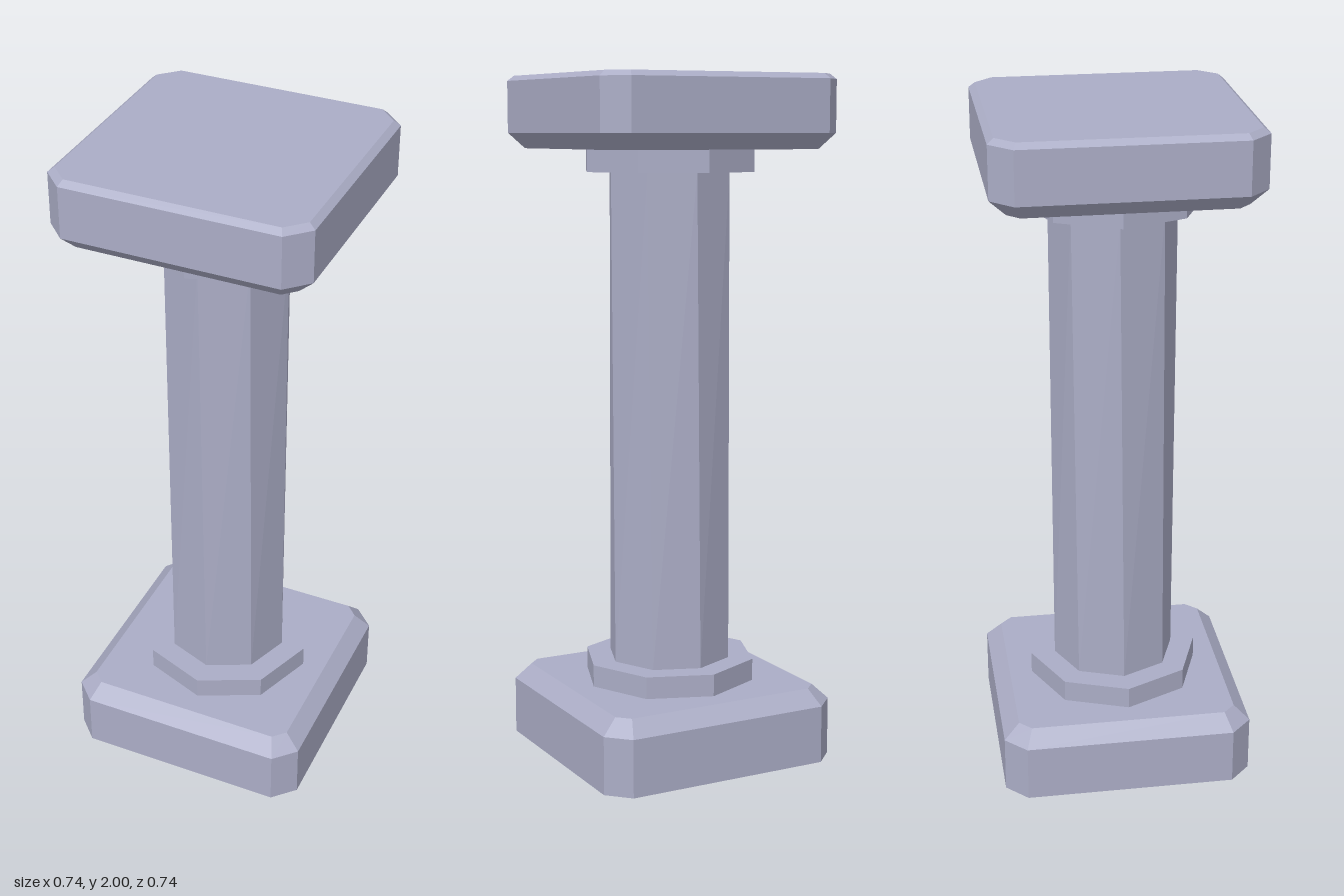
import * as THREE from 'three';

// Square ring with cut corners: half width h, half length c of the straight sides
function squareRing(y, h, c) {
  return [[-c, h], [c, h], [h, c], [h, -c], [c, -h], [-c, -h], [-h, -c], [-h, c]]
    .map(([x, z]) => [x, y, z]);
}

// Regular octagon ring, turned by a few degrees
function octagonRing(y, r, degrees) {
  return Array.from({ length: 8 }, (_, i) => {
    const a = i * Math.PI / 4 + THREE.MathUtils.degToRad(degrees);
    return [r * Math.sin(a), y, r * Math.cos(a)];
  });
}

// Closed, faceted solid through a stack of rings, from bottom to top
function loft(rings) {
  const positions = [];
  const tri = (a, b, c) => positions.push(...a, ...b, ...c);
  const n = rings[0].length;
  for (let k = 0; k < rings.length - 1; k++) {
    const low = rings[k], high = rings[k + 1];
    for (let i = 0; i < n; i++) {
      const j = (i + 1) % n;
      tri(low[i], low[j], high[j]);
      tri(low[i], high[j], high[i]);
    }
  }
  const bottom = rings[0], top = rings[rings.length - 1];
  for (let i = 1; i < n - 1; i++) {
    tri(bottom[0], bottom[i + 1], bottom[i]);
    tri(top[0], top[i], top[i + 1]);
  }
  const geometry = new THREE.BufferGeometry();
  geometry.setAttribute('position', new THREE.Float32BufferAttribute(positions, 3));
  geometry.computeVertexNormals();
  return geometry;
}

export function createModel() {
  const group = new THREE.Group();
  group.name = 'column';
  const stone = new THREE.MeshStandardMaterial({ color: 0xabadc6 });
  stone.name = 'lavender grey stone';

  const add = (name, rings) => {
    const mesh = new THREE.Mesh(loft(rings), stone);
    mesh.name = name;
    group.add(mesh);
  };

  const twist = 2.3;

  // Foot slab with a bevelled upper edge
  add('base', [
    squareRing(0, 0.372, 0.31),
    squareRing(0.17, 0.372, 0.31),
    squareRing(0.215, 0.326, 0.291),
  ]);

  // Octagonal collars and the slightly twisted shaft between them
  add('lowerCollar', [octagonRing(0.215, 0.258, twist), octagonRing(0.28, 0.258, twist)]);
  add('shaft', [octagonRing(0.28, 0.184, twist), octagonRing(1.725, 0.184, -twist)]);
  add('upperCollar', [octagonRing(1.725, 0.258, -twist), octagonRing(1.79, 0.258, -twist)]);

  // Head slab, wide bevel below and a narrow one on top
  add('capital', [
    squareRing(1.79, 0.326, 0.291),
    squareRing(1.835, 0.372, 0.31),
    squareRing(1.985, 0.372, 0.31),
    squareRing(2, 0.354, 0.302),
  ]);

  return group;
}
